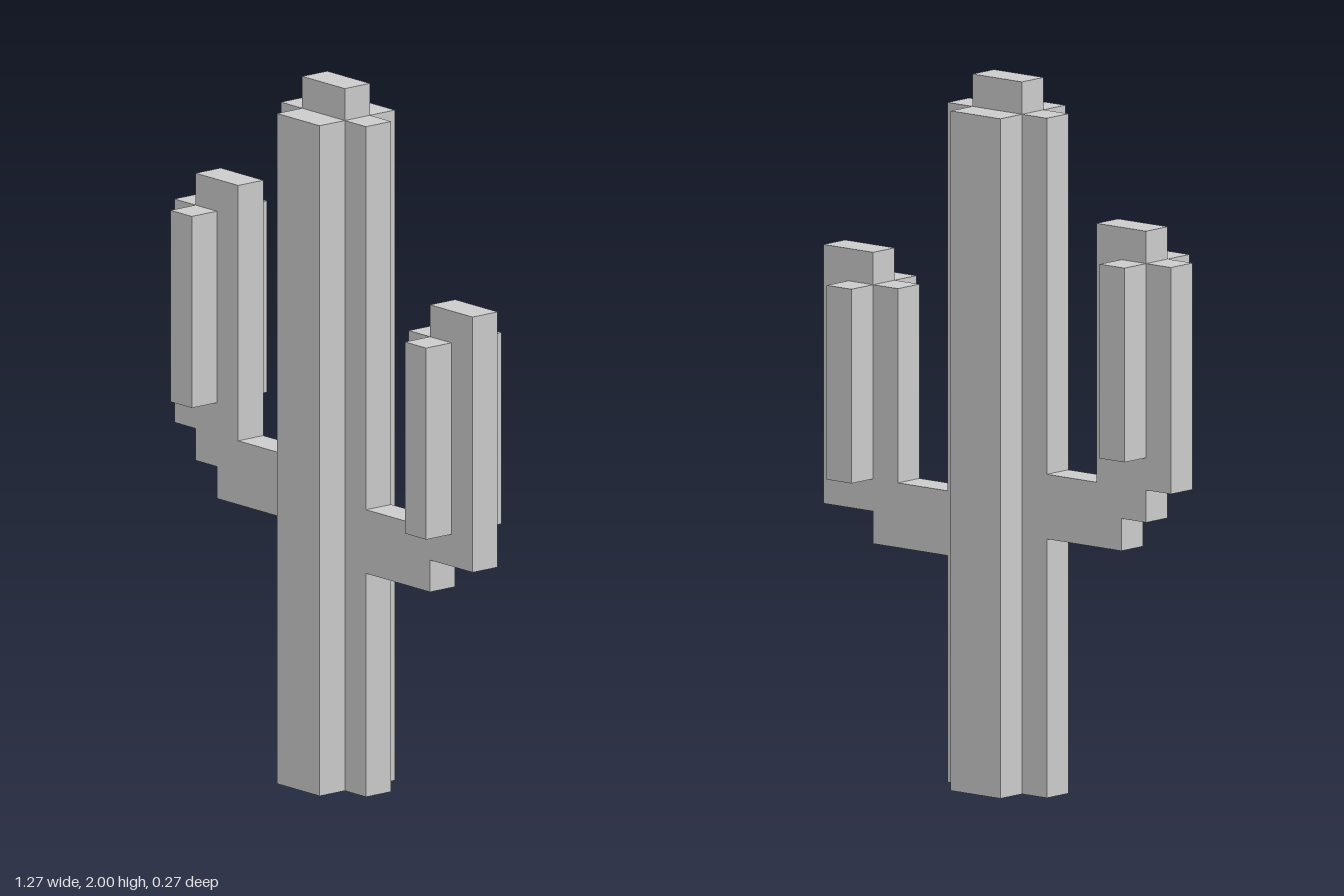
import * as THREE from 'three';

// Everything sits on a block grid: the cactus is 22 blocks tall
const U = 2 / 22;

const material = new THREE.MeshStandardMaterial({ color: 0xcccccc, flatShading: true });
const openMaterial = new THREE.MeshStandardMaterial({
  color: 0xcccccc, flatShading: true, side: THREE.DoubleSide,
});

function shapeOf(points) {
  return new THREE.Shape(points.map(([x, y]) => new THREE.Vector2(x * U, y * U)));
}

function mesh(name, geometry, mat = material) {
  const m = new THREE.Mesh(geometry, mat);
  m.name = name;
  return m;
}

// Box given by its block ranges in x and y, centred on z = 0
function block(name, x0, x1, y0, y1, depth) {
  const geometry = new THREE.BoxGeometry((x1 - x0) * U, (y1 - y0) * U, depth * U);
  geometry.translate((x0 + x1) / 2 * U, (y0 + y1) / 2 * U, 0);
  return mesh(name, geometry);
}

// Flat outline, one block thick, centred on z = 0
function slab(name, points) {
  const geometry = new THREE.ExtrudeGeometry(shapeOf(points), { depth: U, bevelEnabled: false });
  geometry.translate(0, 0, -U / 2);
  return mesh(name, geometry);
}

// Cross-section extruded upward, with the bottom lid left off
function openColumn(name, points, height) {
  const full = new THREE.ExtrudeGeometry(shapeOf(points), { depth: height * U, bevelEnabled: false });
  full.rotateX(-Math.PI / 2);
  const bottomLid = full.groups[0].count / 2;
  const geometry = new THREE.BufferGeometry();
  for (const key of ['position', 'normal', 'uv']) {
    const { array, itemSize } = full.getAttribute(key);
    geometry.setAttribute(key, new THREE.BufferAttribute(array.slice(bottomLid * itemSize), itemSize));
  }
  return mesh(name, geometry, openMaterial);
}

export function createModel() {
  const cactus = new THREE.Group();
  cactus.name = 'cactus';

  // Hollow cross-shaped trunk and the small cap on top
  cactus.add(openColumn('trunk', [
    [-2, -0.5], [-1, -0.5], [-1, -1.5], [1, -1.5], [1, -0.5], [2, -0.5],
    [2, 0.5], [1, 0.5], [1, 1.5], [-1, 1.5], [-1, 0.5], [-2, 0.5],
  ], 21));
  cactus.add(block('trunkTip', -1, 1, 21, 22, 1));

  // Right arm: stepped elbow and upright
  const rightArm = new THREE.Group();
  rightArm.name = 'rightArm';
  rightArm.add(slab('rightBranch', [
    [-2, 8], [-2, 10], [-4, 10], [-4, 18], [-6, 18], [-6, 17],
    [-7, 17], [-7, 10], [-6, 10], [-6, 9], [-5, 9], [-5, 8],
  ]));
  rightArm.add(block('rightRibs', -6, -5, 11, 17, 3));

  // Left arm: lower and shorter, with a single step at the elbow
  const leftArm = new THREE.Group();
  leftArm.name = 'leftArm';
  leftArm.add(slab('leftBranch', [
    [2, 7], [4.5, 7], [4.5, 8], [7, 8], [7, 16], [5, 16],
    [5, 15], [4, 15], [4, 9], [2, 9],
  ].map(([x, y]) => [x === 4.5 ? 5 : x, y])));
  leftArm.add(block('leftRibs', 5, 6, 9, 15, 3));

  cactus.add(rightArm, leftArm);
  return cactus;
}
